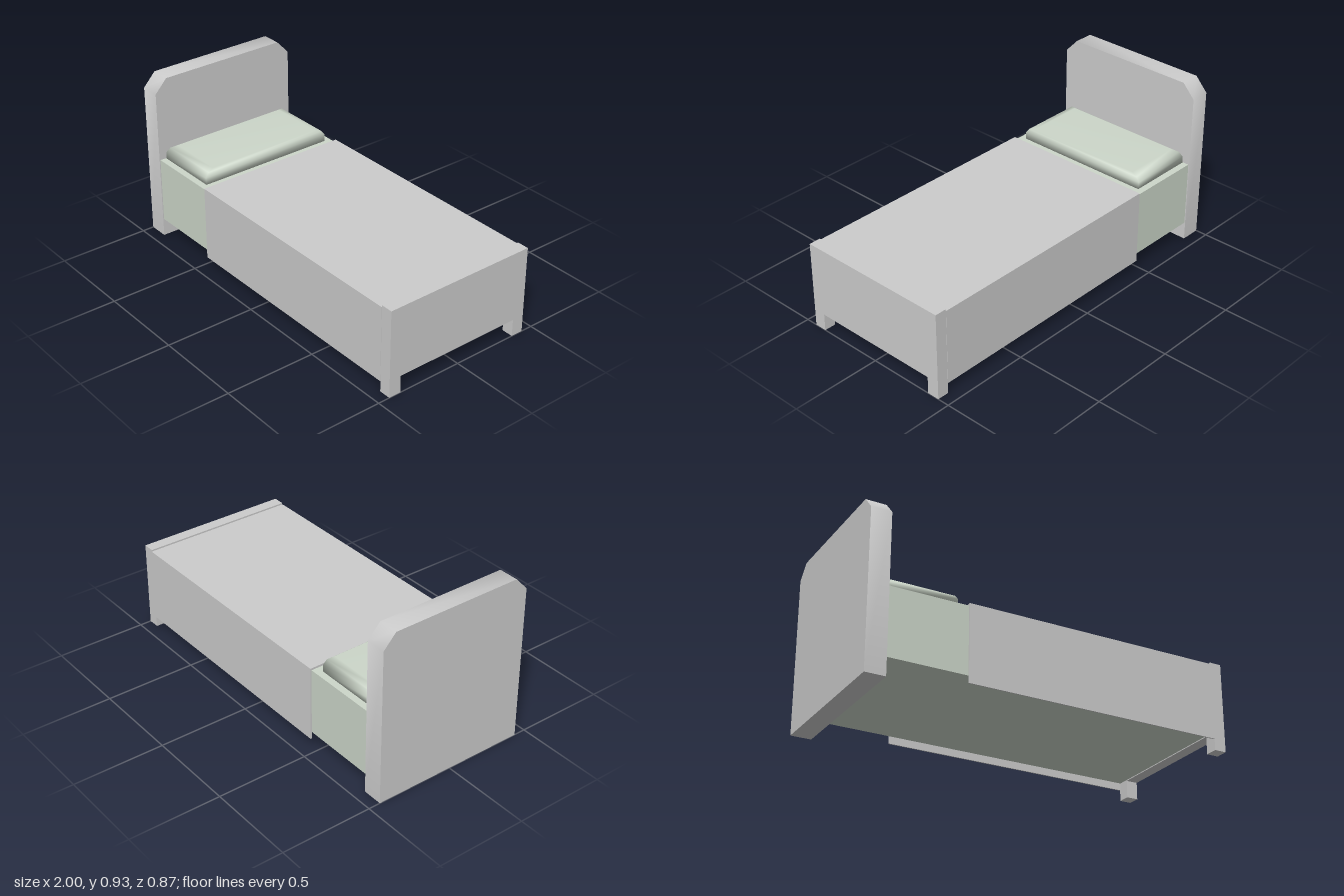
import * as THREE from 'three';
import { toCreasedNormals } from 'three/addons/utils/BufferGeometryUtils.js';

const grey = new THREE.MeshStandardMaterial({ color: 0xcccccc });
const linen = new THREE.MeshStandardMaterial({ color: 0xccd6c9 });

function part(name, geometry, material) {
  const mesh = new THREE.Mesh(geometry, material);
  mesh.name = name;
  return mesh;
}

// Extrudes a (z, y) outline along x from x0 to x1
function alongX(points, x0, x1) {
  const shape = new THREE.Shape(points.map(([z, y]) => new THREE.Vector2(z, y)));
  const geo = new THREE.ExtrudeGeometry(shape, { depth: x1 - x0, bevelEnabled: false });
  geo.rotateY(Math.PI / 2).translate(x0, 0, 0);
  return toCreasedNormals(geo, THREE.MathUtils.degToRad(50));
}

// Completes an outline by mirroring its +z half
function mirrored(half) {
  return [...half, ...half.map(([z, y]) => [-z, y]).reverse()];
}

// Smooth pillow from stacked rectangular rings: [y, xMin, xMax, zHalf]
function pillowGeometry() {
  const rings = [
    [0.465, -0.89, -0.513, 0.393],
    [0.505, -0.882, -0.513, 0.395],
    [0.53, -0.872, -0.517, 0.375],
    [0.54, -0.855, -0.53, 0.337],
  ];
  const pos = [];
  const index = [];
  for (const [y, a, b, z] of rings) pos.push(a, y, z, b, y, z, b, y, -z, a, y, -z);
  for (let r = 0; r < rings.length - 1; r++) {
    for (let i = 0; i < 4; i++) {
      const p = r * 4 + i;
      const q = r * 4 + (i + 1) % 4;
      index.push(p, q, q + 4, p, q + 4, p + 4);
    }
  }
  const t = (rings.length - 1) * 4;
  index.push(t, t + 1, t + 2, t, t + 2, t + 3, 0, 2, 1, 0, 3, 2);
  const geo = new THREE.BufferGeometry();
  geo.setAttribute('position', new THREE.Float32BufferAttribute(pos, 3));
  geo.setIndex(index);
  geo.computeVertexNormals();
  return geo;
}

export function createModel() {
  const bed = new THREE.Group();
  bed.name = 'bed';

  // Tall headboard with clipped top corners, reaching the floor
  const head = mirrored([[0.435, 0], [0.435, 0.855], [0.365, 0.93]]);
  bed.add(part('headboard', alongX(head, -1, -0.89), grey));

  // Footboard with a cut-out that leaves two short legs
  const foot = mirrored([[0.367, 0.095], [0.367, 0], [0.435, 0], [0.435, 0.485]]);
  bed.add(part('footboard', alongX(foot, 0.935, 1), grey));

  // Mattress between the boards
  const mattress = new THREE.BoxGeometry(1.825, 0.365, 0.86);
  mattress.translate(0.0225, 0.2825, 0);
  bed.add(part('mattress', mattress, linen));

  // Thin blanket draped over the top and both sides
  const drape = mirrored([[0.43, 0.465], [0.43, 0.06], [0.437, 0.06], [0.437, 0.476]]);
  bed.add(part('blanket', alongX(drape, -0.47, 0.935), grey));

  bed.add(part('pillow', pillowGeometry(), linen));
  return bed;
}
